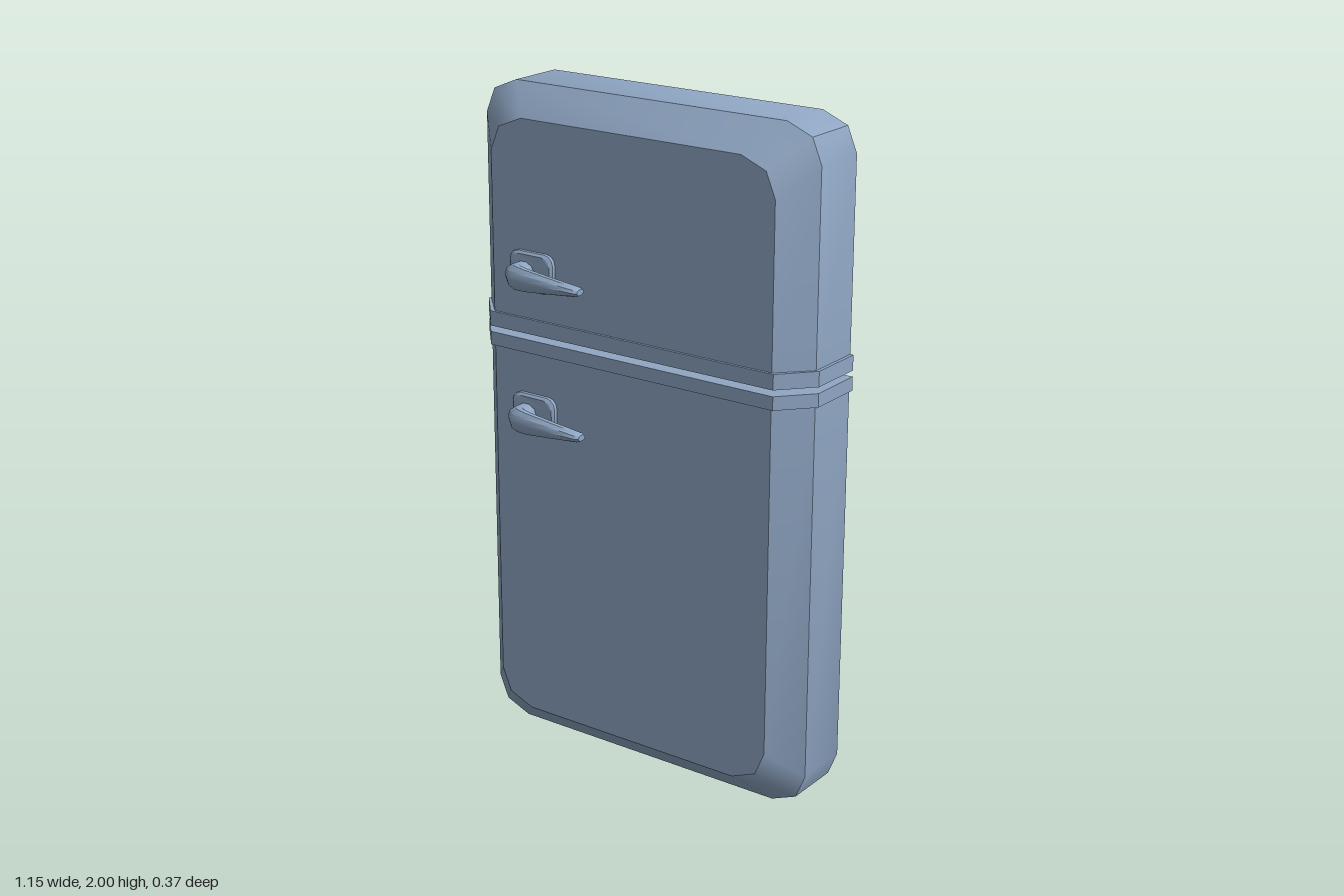
import * as THREE from 'three';
import { toCreasedNormals } from 'three/addons/utils/BufferGeometryUtils.js';

const V = (x, y, z) => new THREE.Vector3(x, y, z);

// Closed solid through rings of points, each counter-clockwise about the direction of travel
function loft(rings) {
  const n = rings[0].length, last = rings.length - 1;
  const pos = rings.flat().flatMap(p => [p.x, p.y, p.z]);
  const idx = [];
  for (let i = 0; i < last; i++) {
    for (let j = 0; j < n; j++) {
      const k = (j + 1) % n;
      const a = i * n + j, b = i * n + k, c = a + n, d = b + n;
      idx.push(a, b, c, b, d, c);
    }
  }
  for (let j = 1; j < n - 1; j++) {
    idx.push(0, j + 1, j);
    idx.push(last * n, last * n + j, last * n + j + 1);
  }
  const g = new THREE.BufferGeometry();
  g.setAttribute('position', new THREE.Float32BufferAttribute(pos, 3));
  g.setIndex(idx);
  return toCreasedNormals(g, 0.65);
}

const BACK = -0.187, SHOULDER = -0.012, FRONT = 0.075;

// Door outline, inset by d; the end at the gap stays square
function doorRing(y0, y1, roundTop, d, z) {
  const w = 0.565 - d;
  const corner = [[0, 0.105], [0.03, 0.033], [0.11, 0]]; // offsets from the side and the end
  const right = roundTop
    ? [[w, y0], ...corner.map(([a, b]) => [w - a, y1 - d - b])]
    : [...corner.map(([a, b]) => [w - a, y0 + d + b]).reverse(), [w, y1]];
  const left = right.map(([x, y]) => [-x, y]).reverse();
  return [...right, ...left].map(([x, y]) => V(x, y, z));
}

function doorGeometry(y0, y1, roundTop) {
  return loft([
    doorRing(y0, y1, roundTop, 0, BACK),
    doorRing(y0, y1, roundTop, 0, SHOULDER),
    doorRing(y0, y1, roundTop, 0.085, FRONT),
  ]);
}

// Band that wraps the door edge beside the gap
function trimGeometry(y0, y1) {
  const left = [[-0.575, BACK], [-0.575, SHOULDER], [-0.49, 0.083]];
  const outline = [...left, ...left.map(([x, z]) => [-x, z]).reverse()];
  return loft([y0, y1].map(y => outline.map(([x, z]) => V(x, y, z))));
}

// Rounded mounting plate with a bevelled rim
function plateGeometry() {
  const ring = (inset, z) => {
    const pts = [], r = 0.03, w = 0.0775 - inset, h = 0.058 - inset;
    for (let q = 0; q < 4; q++) {
      const sx = q === 0 || q === 3 ? 1 : -1, sy = q < 2 ? 1 : -1;
      for (let s = 0; s <= 3; s++) {
        const a = (q + s / 3) * Math.PI / 2;
        pts.push(V(-0.3325 + sx * (w - r) + Math.cos(a) * r, sy * (h - r) + Math.sin(a) * r, z));
      }
    }
    return pts;
  };
  return loft([ring(0, 0.07), ring(0, 0.086), ring(0.007, 0.093)]);
}

// Bent, tapering lever: outer x, z, inner x, z, half height
function leverGeometry() {
  const sections = [
    [-0.394, 0.08, -0.318, 0.08, 0.03],
    [-0.384, 0.142, -0.315, 0.125, 0.034],
    [-0.354, 0.17, -0.306, 0.134, 0.037],
    [-0.305, 0.181, -0.28, 0.139, 0.034],
    [-0.2, 0.184, -0.2, 0.141, 0.024],
    [-0.108, 0.185, -0.108, 0.142, 0.014],
    [-0.097, 0.179, -0.097, 0.147, 0.009],
  ];
  return loft(sections.map(([ox, oz, ix, iz, h]) => {
    const ring = [];
    for (let j = 0; j < 10; j++) {
      const a = -j / 10 * Math.PI * 2, t = Math.cos(a) / 2;
      ring.push(V((ox + ix) / 2 + (ox - ix) * t, Math.sin(a) * h, (oz + iz) / 2 + (oz - iz) * t));
    }
    return ring;
  }));
}

export function createModel() {
  const root = new THREE.Group();
  root.name = 'fridgeDoors';
  const paint = new THREE.MeshStandardMaterial({ color: 0x8fa6c3 });
  paint.name = 'blueGreyPaint';

  const add = (parent, name, geometry) => {
    const mesh = new THREE.Mesh(geometry, paint);
    mesh.name = name;
    parent.add(mesh);
  };

  // Doors and the trim on both sides of the gap
  add(root, 'freezerDoor', doorGeometry(1.29, 2, true));
  add(root, 'fridgeDoor', doorGeometry(0, 1.272, false));
  add(root, 'freezerTrim', trimGeometry(1.29, 1.335));
  add(root, 'fridgeTrim', trimGeometry(1.232, 1.272));

  // One handle on each door
  const plate = plateGeometry(), lever = leverGeometry();
  for (const [name, y] of [['freezerHandle', 1.478], ['fridgeHandle', 1.05]]) {
    const handle = new THREE.Group();
    handle.name = name;
    handle.position.y = y;
    add(handle, 'handlePlate', plate);
    add(handle, 'handleLever', lever);
    root.add(handle);
  }
  return root;
}
